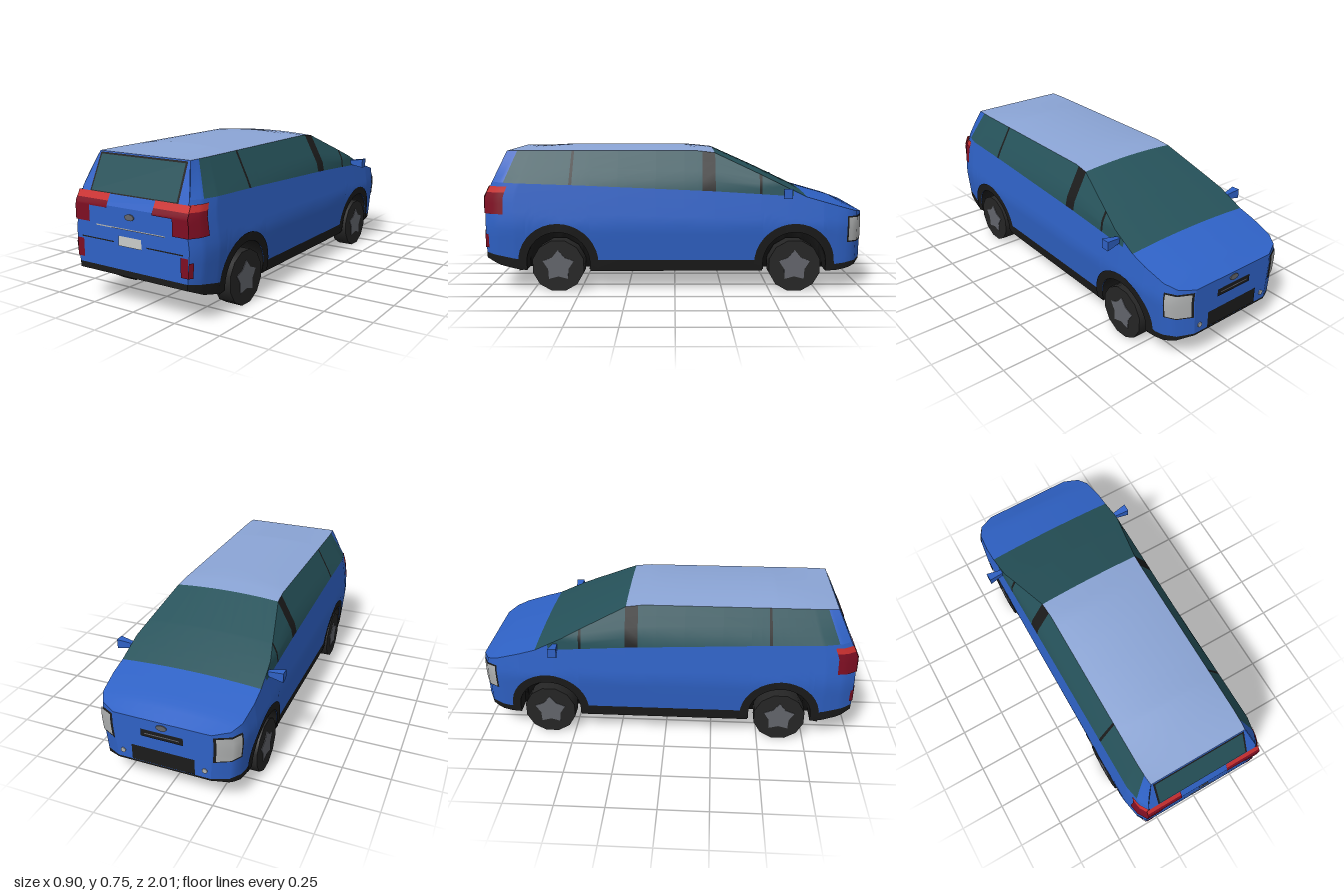
import * as THREE from 'three';

const mat = (name, color) => Object.assign(new THREE.MeshStandardMaterial({ color, side: THREE.DoubleSide }), { name });

// Piecewise linear lookup in a list of [key, value] pairs
function look(table, k) {
  if (k <= table[0][0]) return table[0][1];
  for (let i = 1; i < table.length; i++) {
    const [a, va] = table[i - 1], [b, vb] = table[i];
    if (k <= b) return va + (vb - va) * (k - a) / (b - a);
  }
  return table[table.length - 1][1];
}
const lerp = (a, b, t) => a + (b - a) * t;
const steps = (n) => Array.from({ length: n + 1 }, (_, i) => i / n);

// Body rules: u runs along the car from nose (-1) to tail (1)
const WIDTH = [[0.1, 0.368], [0.13, 0.373], [0.35, 0.395], [0.57, 0.366], [0.735, 0.28]];
const PLAN = [[-1, 0.65], [-0.96, 0.86], [-0.9, 0.95], [-0.78, 0.99], [-0.6, 1], [0.85, 1], [0.95, 0.95], [1, 0.87]];
const REAR = [[0.5, 1], [0.55, 0.975], [0.735, 0.89]];
const EDGE = [[-1, 0.41], [-0.9, 0.44], [-0.69, 0.5], [-0.45, 0.615], [-0.21, 0.725], [-0.12, 0.735], [1, 0.735]];
const CROWN = [[-1, 0.41], [-0.9, 0.455], [-0.69, 0.515], [-0.45, 0.63], [-0.21, 0.738], [-0.05, 0.755], [0.6, 0.755], [1, 0.735]];
const BELT = [[-0.69, 0.5], [-0.2, 0.53], [0.5, 0.56], [1, 0.575]];
const BOTTOM = [[-1, 0.15], [-0.93, 0.12], [-0.85, 0.105], [0.75, 0.105], [0.83, 0.115], [0.92, 0.135], [1, 0.17]];
const SILL = [[-1, 0.16], [-0.85, 0.14], [-0.8, 0.165], [0.8, 0.165], [1, 0.2]];
const AXLES = [-0.63, 0.615], ARCH_R = 0.168, ARCH_Y = 0.15;

function lowEdge(u) {
  for (const c of AXLES) {
    const d = Math.abs(u - c);
    if (d <= ARCH_R) return ARCH_Y + Math.sqrt(Math.max(0, ARCH_R ** 2 - d * d));
  }
  return look(BOTTOM, u);
}
const topEdge = (u) => look(EDGE, u);
const beltY = (u) => Math.min(look(BELT, u), topEdge(u));

// Point on the left flank
function flank(u, y, out = 0) {
  let p = look(PLAN, u);
  if (u > 0) p = lerp(p, 1, 0.8 * THREE.MathUtils.clamp((y - 0.55) / 0.18, 0, 1));
  const z = u > 0.5 ? 0.5 + (u - 0.5) * (look(REAR, y) - 0.5) / 0.5 : u;
  return [look(WIDTH, y) * p + out, y, z + (u < -0.9 ? -out * 0.8 : u > 0.9 ? out * 0.8 : 0)];
}

// Stations along the body, denser over the wheel arches
const stations = [PLAN, EDGE, CROWN, BOTTOM, SILL].flat().map((p) => p[0]).concat([0.1, 0.3, 0.5]);
for (const c of AXLES) {
  stations.push(c - ARCH_R - 0.0005, c + ARCH_R + 0.0005);
  for (const t of steps(12)) stations.push(c + (ARCH_R - 1e-6) * Math.cos(Math.PI * t));
}
const cols = (a, b) => [a, ...[...new Set(stations)].filter((s) => s > a + 1e-5 && s < b - 1e-5).sort((p, q) => p - q), b];

// Surface through rows of points
function sheet(rows, flip = false) {
  const n = rows[0].length, idx = [];
  for (let i = 0; i < rows.length - 1; i++) {
    for (let j = 0; j < n - 1; j++) {
      const a = i * n + j, b = a + n, c = a + 1, d = b + 1;
      idx.push(...(flip ? [a, b, c, b, d, c] : [a, c, b, b, c, d]));
    }
  }
  const g = new THREE.BufferGeometry();
  g.setAttribute('position', new THREE.Float32BufferAttribute(rows.flat(2), 3));
  g.setIndex(idx);
  g.computeVertexNormals();
  return g;
}

export function createModel() {
  const car = new THREE.Group();
  car.name = 'van';
  const paint = mat('blue paint', 0x2f62c6), roofPaint = mat('pale blue roof', 0x8ba5d6);
  const glass = mat('teal glass', 0x26525a), trim = mat('black trim', 0x1b1b1b);
  const rubber = mat('tyre rubber', 0x262626), alloy = mat('grey alloy', 0x63656c);
  const red = mat('red lamp', 0xcc3030), darkRed = mat('dark red lamp', 0x7e0e22);
  const lens = mat('headlamp lens', 0xb0b2b2), white = mat('plate white', 0xcaccca);

  const add = (name, geo, material, parent = car) => {
    const m = new THREE.Mesh(geo, material);
    m.name = name;
    parent.add(m);
    return m;
  };
  const both = (name, rows, material) => {
    add(name + 'Left', sheet(rows), material);
    add(name + 'Right', sheet(rows.map((r) => r.map(([x, y, z]) => [-x, y, z])), true), material);
  };
  // Panel on both flanks, between heights given as functions of u
  const flankPanel = (name, material, a, b, lo, hi, out = 0, n = 4) =>
    both(name, cols(a, b).map((u) => steps(n).map((t) => flank(u, lerp(lo(u), hi(u), t), out))), material);
  const at = (y) => () => y;

  // Flanks: paint above, black sill below
  const sillY = (u) => Math.max(lowEdge(u), look(SILL, u));
  flankPanel('sidePaint', paint, -1, 1, sillY, beltY, 0, 8);
  flankPanel('sill', trim, -1, 1, lowEdge, sillY, 0, 1);

  // Side windows and pillars
  const bays = [
    ['frontCorner', paint, -0.69, -0.62], ['quarterGlass', glass, -0.62, -0.457], ['thinFrontPillar', trim, -0.457, -0.443],
    ['frontDoorGlass', glass, -0.443, -0.213], ['doorPillar', trim, -0.213, -0.145], ['rearDoorGlass', glass, -0.145, 0.543],
    ['thinRearPillar', trim, 0.543, 0.56], ['cargoGlass', glass, 0.56, 0.93], ['rearCorner', paint, 0.93, 1],
  ];
  for (const [name, m, a, b] of bays) flankPanel(name, m, a, b, beltY, topEdge);

  // Bonnet, windscreen and roof
  const topPanel = (name, m, a, b) => add(name, sheet(cols(a, b).map((u) => {
    const [x, y, z] = flank(u, topEdge(u));
    return steps(12).map((t) => {
      const s = 1 - 2 * t;
      return [x * s, lerp(look(CROWN, u), y, s * s), z];
    });
  })), m);
  topPanel('bonnet', paint, -1, -0.69);
  topPanel('windscreen', glass, -0.69, -0.21);
  topPanel('roof', roofPaint, -0.21, 1);

  // Floor with wheel wells
  add('floor', sheet(cols(-1, 1).map((u) => {
    const y = lowEdge(u), b = look(BOTTOM, u), x = flank(u, y)[0], w = Math.min(0.27, x * 0.95);
    return [[-x, y, u], [-w, y, u], [-w, b, u], [w, b, u], [w, y, u], [x, y, u]];
  })), trim);

  // Nose and tail faces
  const endFace = (name, m, u, ys) => add(name, sheet([-1, 1].map((s) => ys.map((y) => {
    const [x, , z] = flank(u, y);
    return [-s * Math.sign(u) * x, y, z];
  }))), m);
  endFace('noseFace', paint, -1, [0.16, 0.25, 0.35, 0.41]);
  endFace('noseLip', trim, -1, [0.15, 0.16]);
  endFace('tailFace', paint, 1, [0.2, 0.35, 0.5]);
  endFace('tailgateSlope', paint, 1, [0.5, 0.55, 0.57, 0.735]);
  endFace('rearBumper', trim, 1, [0.17, 0.2]);

  // Thin plates on the tail (z follows its slope) and nose
  const tailPlate = (name, m, x0, x1, ys, out = 0.004, topInset = 0) => add(name, sheet([x1, x0].map((x) =>
    ys.map((y, i) => [x - Math.sign(x) * topInset * i / (ys.length - 1), y, look(REAR, y) + out]))), m);
  const nosePlate = (name, m, x0, x1, y0, y1, out = 0.004) =>
    add(name, sheet([x0, x1].map((x) => [y0, y1].map((y) => [x, y, -1 - out]))), m);

  tailPlate('rearGlassFrame', trim, -0.268, 0.268, [0.552, 0.73], 0.002, 0.004);
  tailPlate('rearGlass', glass, -0.258, 0.258, [0.558, 0.722], 0.004, 0.004);
  tailPlate('numberPlate', white, -0.07, 0.07, [0.317, 0.365]);
  tailPlate('tailgateStrip', lens, -0.21, 0.21, [0.398, 0.404]);
  for (const s of [-1, 1]) {
    const span = (a, b) => (s > 0 ? [a, b] : [-b, -a]);
    tailPlate('tailLampUpper', red, ...span(0.138, 0.338), [0.522, 0.55, 0.554]);
    tailPlate('tailLampMiddle', darkRed, ...span(0.138, 0.34), [0.49, 0.5, 0.522]);
    tailPlate('tailLampLower', darkRed, ...span(0.252, 0.343), [0.41, 0.49]);
    tailPlate('rearReflector', darkRed, ...span(0.296, 0.338), [0.228, 0.32]);
    tailPlate('bumperSeam', trim, ...span(0.1, 0.31), [0.328, 0.334], 0.002);
    const fog = add('fogLamp', new THREE.CylinderGeometry(0.013, 0.013, 0.008, 10), lens);
    fog.rotation.x = Math.PI / 2;
    fog.position.set(s * 0.215, 0.2, -1.001);
  }
  flankPanel('tailLampSide', darkRed, 0.9, 1, at(0.41), at(0.522), 0.004);
  flankPanel('tailLampSideTop', red, 0.9, 1, at(0.522), at(0.554), 0.004);
  flankPanel('reflectorSide', darkRed, 0.98, 1, at(0.228), at(0.3), 0.004);
  flankPanel('headlampSurround', trim, -0.998, -0.906, at(0.258), at(0.397), 0.002);
  flankPanel('headlamp', lens, -0.993, -0.912, at(0.266), at(0.39), 0.005);
  nosePlate('grille', trim, -0.11, 0.11, 0.315, 0.355);
  nosePlate('grilleBar', alloy, -0.09, 0.09, 0.332, 0.337, 0.006);
  nosePlate('lowerIntake', trim, -0.165, 0.165, 0.165, 0.25);
  for (const [name, y, z] of [['tailgateButton', 0.46, 1.001], ['bonnetLatch', 0.383, -1.001]]) {
    const b = add(name, new THREE.CylinderGeometry(0.028, 0.028, 0.008, 16), alloy);
    b.rotation.x = Math.PI / 2;
    b.scale.z = 0.55;
    b.position.set(0, y, z);
  }

  // Wheel arch trims follow the flank
  for (const c of AXLES) {
    both('archTrim', steps(20).map((t) => {
      const a = lerp(Math.PI + 0.2, -0.2, t);
      return [0.167, 0.212].map((r) => flank(c + r * Math.cos(a), ARCH_Y + r * Math.sin(a), 0.004));
    }), trim);
  }

  // Wheels with five-pointed alloys
  const star = new THREE.Shape(steps(9).map((t, i) => {
    const a = (i / 10) * Math.PI * 2 + Math.PI / 2, r = i % 2 ? 0.056 : 0.086;
    return new THREE.Vector2(r * Math.cos(a), r * Math.sin(a));
  }));
  const tyreGeo = new THREE.CylinderGeometry(0.139, 0.139, 0.09, 12).rotateY(Math.PI / 12).rotateZ(Math.PI / 2);
  const rimGeo = new THREE.ExtrudeGeometry(star, { depth: 0.006, bevelEnabled: false }).rotateY(Math.PI / 2);
  for (const z of AXLES) {
    for (const s of [-1, 1]) {
      const wheel = new THREE.Group();
      wheel.name = 'wheel';
      wheel.position.set(s * 0.34, 0.135, z);
      if (s < 0) wheel.rotation.y = Math.PI;
      add('tyre', tyreGeo, rubber, wheel);
      add('rim', rimGeo, alloy, wheel).position.x = 0.042;
      car.add(wheel);
    }
  }

  // Door mirrors flare outward
  for (const s of [-1, 1]) {
    const g = new THREE.BoxGeometry(0.085, 0.05, 0.045), p = g.attributes.position;
    for (let i = 0; i < p.count; i++) {
      if (p.getX(i) * s < 0) p.setXYZ(i, p.getX(i), p.getY(i) * 0.5, p.getZ(i) * 0.5);
    }
    g.computeVertexNormals();
    add('doorMirror', g, paint).position.set(s * 0.41, 0.526, -0.58);
  }
  return car;
}
